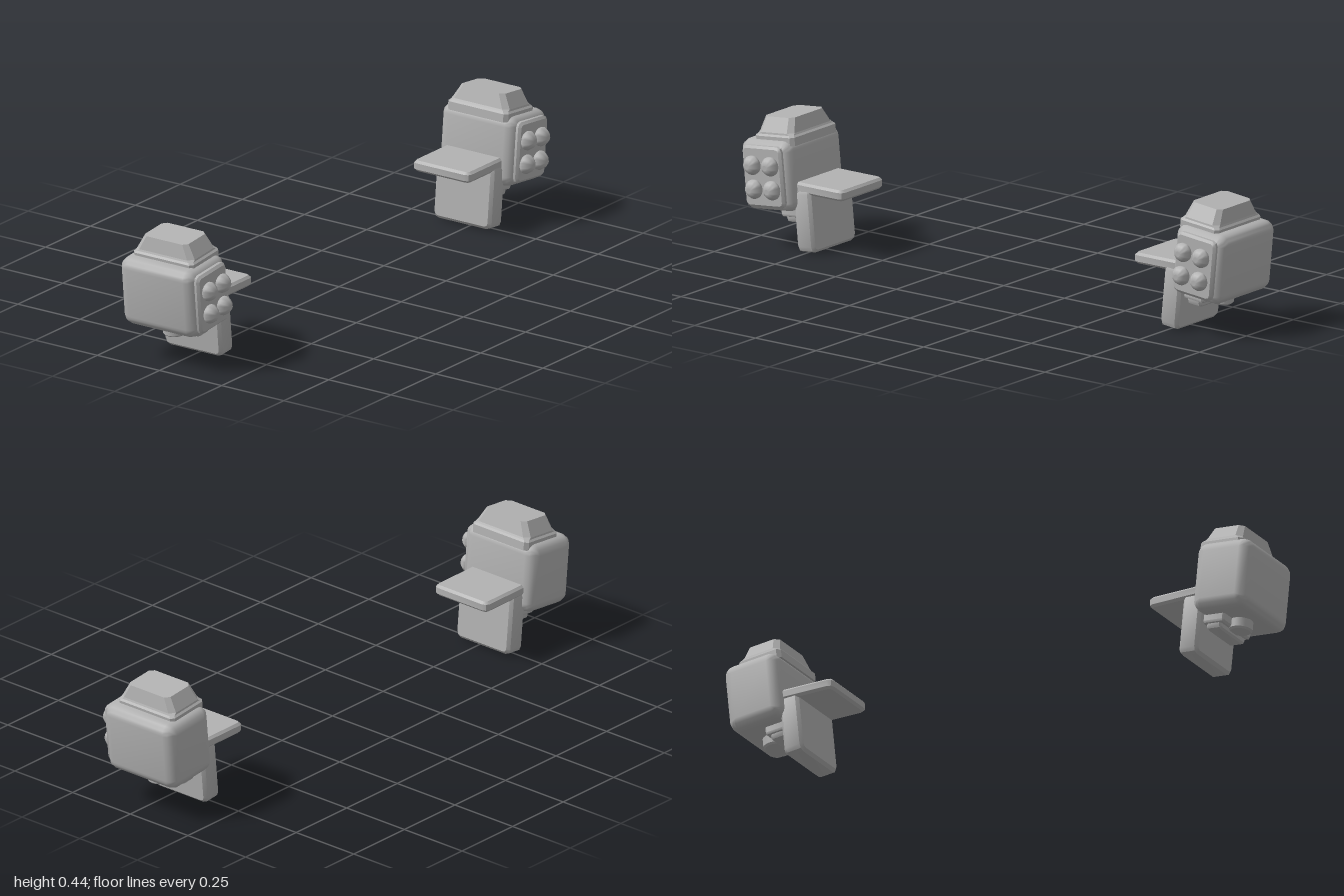
import * as THREE from 'three';
import { toCreasedNormals } from 'three/addons/utils/BufferGeometryUtils.js';

const TILT = 0.1;   // outward lean of each pod
const MID_Z = -0.023;

// Bevelled slab centred on the origin, w by h outline and d thick along z
function slab(w, h, d, corner, bevel, segments = 1) {
  const x = w / 2, y = h / 2, r = corner, q = Math.PI / 2;
  const s = new THREE.Shape();
  s.absarc(x - r, y - r, r, 0, q);
  s.absarc(-x + r, y - r, r, q, 2 * q);
  s.absarc(-x + r, -y + r, r, 2 * q, 3 * q);
  s.absarc(x - r, -y + r, r, 3 * q, 4 * q);
  s.closePath();
  const g = new THREE.ExtrudeGeometry(s, {
    depth: d - 2 * bevel, curveSegments: segments, bevelEnabled: true,
    bevelThickness: bevel, bevelSize: bevel, bevelOffset: -bevel, bevelSegments: segments,
  });
  g.translate(0, 0, -(d - 2 * bevel) / 2);
  return toCreasedNormals(g, 0.6);
}

// Closed stack of chamfered rectangles, each [y, halfX, halfZ, chamfer]
function stack(sections) {
  const pos = [], idx = [];
  for (const [y, a, b, c] of sections) {
    const ring = [[a, b - c], [a - c, b], [c - a, b], [-a, b - c],
      [-a, c - b], [c - a, -b], [a - c, -b], [a, c - b]];
    for (const [x, z] of ring) pos.push(x, y, z);
  }
  const last = (sections.length - 1) * 8;
  for (let k = 0; k < last; k += 8) {
    for (let i = 0; i < 8; i++) {
      const j = (i + 1) % 8;
      idx.push(k + i, k + 8 + i, k + j, k + j, k + 8 + i, k + 8 + j);
    }
  }
  for (let i = 1; i < 7; i++) {
    idx.push(0, i, i + 1);
    idx.push(last, last + i + 1, last + i);
  }
  const g = new THREE.BufferGeometry();
  g.setAttribute('position', new THREE.Float32BufferAttribute(pos, 3));
  g.setIndex(idx);
  const flat = g.toNonIndexed();
  flat.computeVertexNormals();
  return flat;
}

export function createModel() {
  const grey = new THREE.MeshStandardMaterial({ color: 0xb2b2b2 });
  grey.name = 'grey';

  const bodyGeo = slab(0.203, 0.238, 0.297, 0.035, 0.036, 3);
  const faceGeo = slab(0.16, 0.205, 0.03, 0.018, 0.008);
  const capGeo = stack([
    [0.1, 0.08, 0.121, 0.012], [0.128, 0.08, 0.121, 0.012], [0.134, 0.074, 0.115, 0.012],
    [0.14, 0.071, 0.114, 0.018], [0.187, 0.06, 0.087, 0.015],
  ]);
  // Rounded missile nose pointing along +z
  const noseGeo = toCreasedNormals(new THREE.LatheGeometry([
    [0.026, 0], [0.032, 0.008], [0.032, 0.016], [0.023, 0.03], [0.009, 0.041], [0, 0.042],
  ].map(([r, y]) => new THREE.Vector2(r, y)), 20).rotateX(Math.PI / 2), 0.8);
  const shelfGeo = slab(0.21, 0.228, 0.037, 0.018, 0.008).rotateX(Math.PI / 2);
  const finGeo = slab(0.23, 0.215, 0.072, 0.02, 0.01).rotateY(Math.PI / 2);
  const bracketGeo = slab(0.16, 0.05, 0.055, 0.014, 0.006).rotateY(Math.PI / 2);
  const bracketTopGeo = slab(0.176, 0.04, 0.09, 0.01, 0.006).rotateY(Math.PI / 2);
  const pivotGeo = toCreasedNormals(new THREE.LatheGeometry([
    [0, -0.03], [0.034, -0.03], [0.04, -0.024], [0.04, 0.03],
  ].map(([r, y]) => new THREE.Vector2(r, y)), 20), 0.6);

  function add(parent, name, geo, x, y, z) {
    const mesh = new THREE.Mesh(geo, grey);
    mesh.name = name;
    mesh.position.set(x, y, z);
    parent.add(mesh);
    return mesh;
  }

  const model = new THREE.Group();
  model.name = 'missilePods';

  for (const s of [1, -1]) {
    const side = new THREE.Group();
    side.name = s > 0 ? 'leftLauncher' : 'rightLauncher';
    model.add(side);

    // Tilted launcher box with its lid and missiles
    const pod = new THREE.Group();
    pod.name = 'pod';
    pod.position.set(s * 0.888, 0.247, 0);
    pod.rotation.z = -s * TILT;
    side.add(pod);
    add(pod, 'podBody', bodyGeo, 0, 0, MID_Z);
    add(pod, 'frontPlate', faceGeo, 0, 0, 0.123);
    add(pod, 'topCap', capGeo, -s * 0.025, 0, MID_Z);
    for (const x of [-0.037, 0.037]) {
      for (const y of [-0.04, 0.04]) add(pod, 'missileNose', noseGeo, x - s * 0.004, y, 0.134);
    }

    // Pivot and bracket beneath the box
    add(pod, 'pivot', pivotGeo, s * 0.008, -0.125, MID_Z);
    add(pod, 'bracket', bracketGeo, -s * 0.047, -0.142, MID_Z);
    add(pod, 'bracketTop', bracketTopGeo, -s * 0.05, -0.128, MID_Z);

    // Mounting shelf and hanging fin
    add(side, 'shelf', shelfGeo, s * 0.705, 0.218, MID_Z - 0.003);
    add(side, 'fin', finGeo, s * 0.757, 0.111, MID_Z).rotation.z = -s * TILT;
  }
  return model;
}
